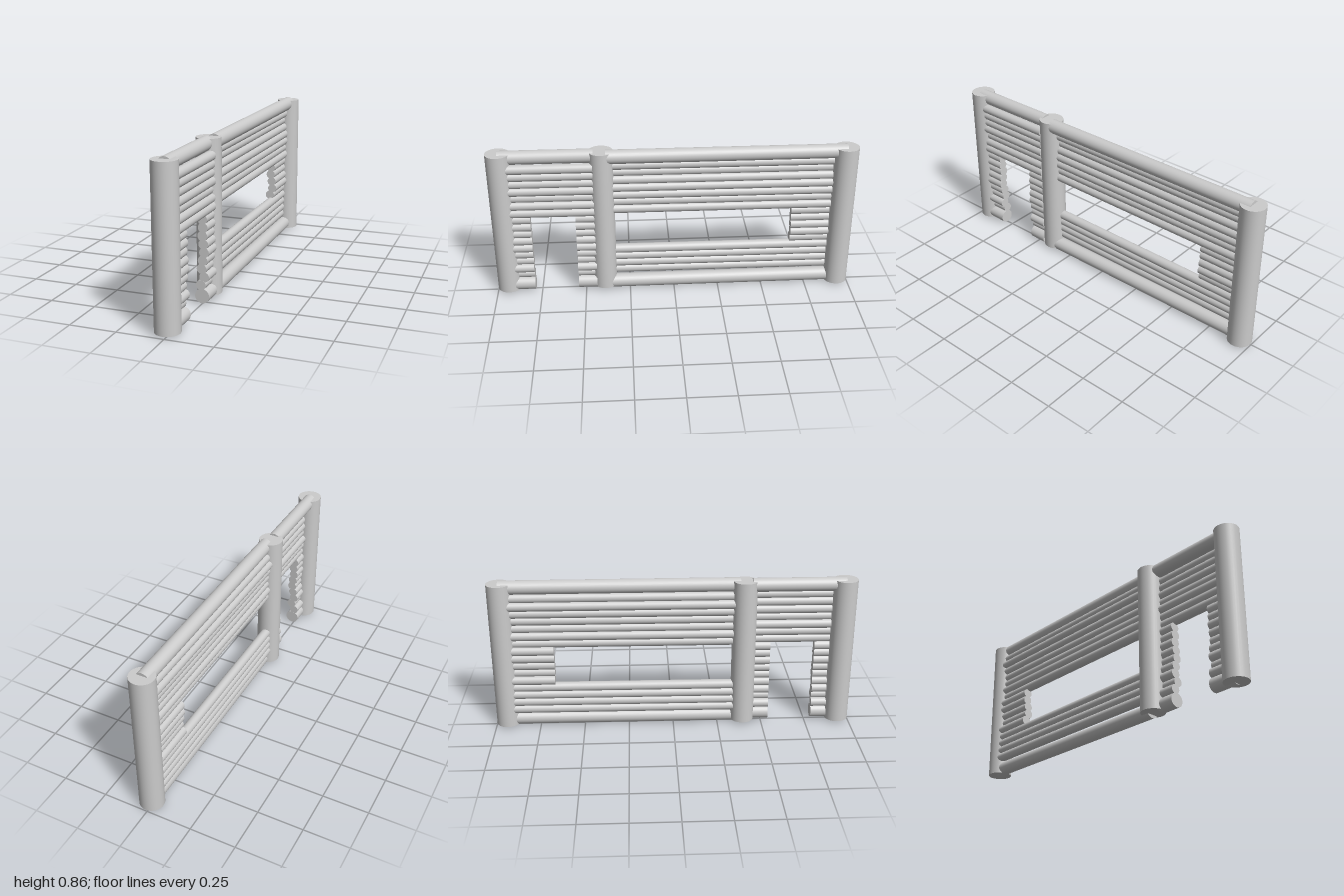
import * as THREE from 'three';

const material = new THREE.MeshStandardMaterial({ color: 0xcccccc });

// Small seeded generator for the uneven stacking of the logs
function seeded(seed) {
  let s = seed;
  return () => {
    s = (s * 16807) % 2147483647;
    return s / 2147483647 - 0.5;
  };
}

// Round log between two points
function addLog(parent, name, from, to, radius) {
  const a = new THREE.Vector3(...from);
  const b = new THREE.Vector3(...to);
  const dir = b.clone().sub(a);
  const log = new THREE.Mesh(new THREE.CylinderGeometry(radius, radius, dir.length(), 32), material);
  log.name = name;
  log.position.copy(a).add(b).multiplyScalar(0.5);
  log.quaternion.setFromUnitVectors(new THREE.Vector3(0, 1, 0), dir.normalize());
  parent.add(log);
}

const ROWS = 16;
const FIRST_ROW = 0.106;
const PITCH = 0.0437;
const THIN = 0.0265;
const THICK = 0.039;

// Stack of thin logs; spans(row) lists the [z0, z1] pieces left around an opening
function addRows(parent, name, baseX, jitter, tilt, spans, seed) {
  const rand = seeded(seed);
  for (let row = 0; row < ROWS; row++) {
    const y = FIRST_ROW + row * PITCH;
    const x = baseX + rand() * jitter;
    for (const [z0, z1] of spans(row)) {
      addLog(parent, name, [x + tilt * z0, y, z0], [x + tilt * z1, y, z1], THIN);
    }
  }
}

export function createModel() {
  const model = new THREE.Group();
  model.name = 'logWall';

  // Upright posts
  addLog(model, 'frontPost', [-0.009, 0.012, 0.934], [-0.009, 0.847, 0.934], 0.066);
  addLog(model, 'middlePost', [-0.011, 0.018, 0.39], [-0.011, 0.847, 0.39], 0.066);
  addLog(model, 'backPost', [0.008, 0.008, -0.934], [0.008, 0.842, -0.934], 0.066);

  // Long panel with the window opening in rows 4 to 8
  const windowPanel = new THREE.Group();
  windowPanel.name = 'windowPanel';
  addLog(windowPanel, 'topRail', [0.008, 0.819, 0.365], [0.008, 0.819, -0.935], THICK);
  addLog(windowPanel, 'bottomRail', [0.003, 0.039, 0.37], [0.003, 0.041, -0.935], THICK);
  addRows(windowPanel, 'windowPanelLog', -0.014, 0.018, -0.005,
    (row) => (row >= 4 && row <= 8 ? [[-0.655, -0.92]] : [[0.365, -0.92]]), 77);
  model.add(windowPanel);

  // Short panel with the doorway below row 9
  const doorPanel = new THREE.Group();
  doorPanel.name = 'doorPanel';
  const doorSides = [[0.435, 0.54], [0.785, 0.925]];
  addLog(doorPanel, 'topRail', [-0.01, 0.821, 0.43], [-0.01, 0.821, 0.935], 0.038);
  for (const [z0, z1] of doorSides) {
    addLog(doorPanel, 'bottomRail', [0.008, 0.047, z0], [0.006, 0.047, z1], THICK);
  }
  addRows(doorPanel, 'doorPanelLog', 0.012, 0.02, -0.006,
    (row) => (row <= 8 ? doorSides : [[0.435, 0.925]]), 4242);
  model.add(doorPanel);

  return model;
}
